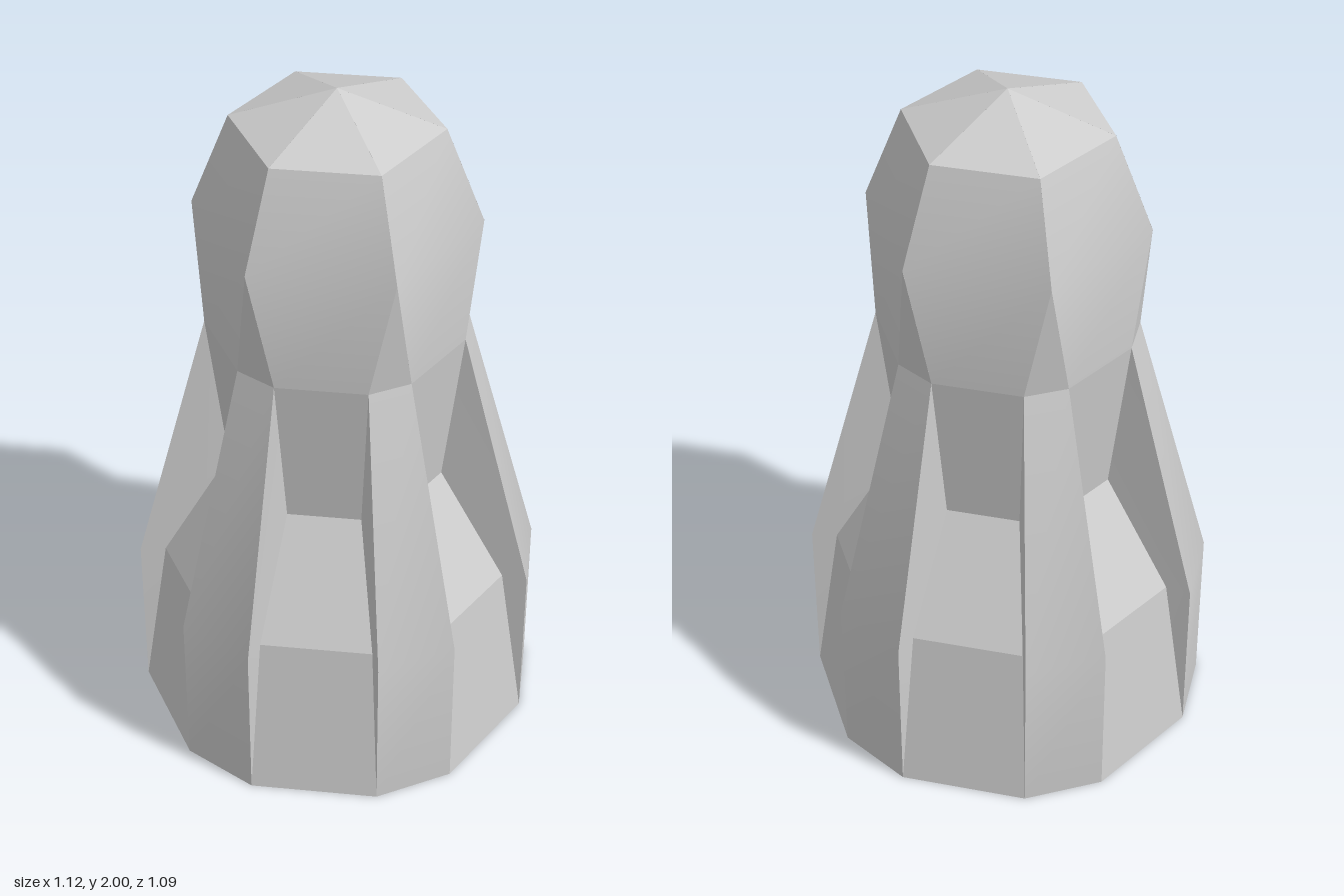
import * as THREE from 'three';
import { toCreasedNormals } from 'three/addons/utils/BufferGeometryUtils.js';

// Point on one of six sides: offset w along the side, height y, distance d from the axis
function onSide(k, w, y, d) {
  const a = k * Math.PI / 3;
  return [Math.sin(a) * d + Math.cos(a) * w, y, Math.cos(a) * d - Math.sin(a) * w];
}

// Adds a polygon as a triangle fan, corners counter-clockwise from outside
function face(out, ...p) {
  for (let i = 1; i < p.length - 1; i++) out.push(...p[0], ...p[i], ...p[i + 1]);
}

function makeMesh(name, positions, material) {
  const geo = new THREE.BufferGeometry();
  geo.setAttribute('position', new THREE.Float32BufferAttribute(positions, 3));
  const mesh = new THREE.Mesh(toCreasedNormals(geo, THREE.MathUtils.degToRad(20)), material);
  mesh.name = name;
  return mesh;
}

// Profiles: [half width, height, distance from axis]
const PANEL = [[0.181, 0, 0.545], [0.157, 0.49, 0.476], [0.103, 0.815, 0.29], [0.125, 1.285, 0.34]];
const RIB = [[0.181, 0, 0.545], [0.181, 0.49, 0.545], [0.125, 1.285, 0.34]];
const HEAD = [[0.125, 1.285, 0.34], [0.195, 1.63, 0.338], [0.1425, 1.9, 0.247]];

export function createModel() {
  const group = new THREE.Group();
  group.name = 'ribbedTower';
  const grey = new THREE.MeshStandardMaterial({ color: 0xcccccc, side: THREE.DoubleSide });
  grey.name = 'lightGrey';

  const panels = [], ribs = [], walls = [], head = [], cap = [];
  const strip = (out, k, rows) => {
    for (let i = 0; i < rows.length - 1; i++) {
      const [w0, y0, d0] = rows[i], [w1, y1, d1] = rows[i + 1];
      face(out, onSide(k, -w0, y0, d0), onSide(k, w0, y0, d0),
        onSide(k, w1, y1, d1), onSide(k, -w1, y1, d1));
    }
  };

  for (let k = 0; k < 6; k++) {
    // Recessed panel between two ribs
    strip(panels, k, PANEL);

    // Outer face of the rib on the corner between this side and the next
    const left = RIB.map(([w, y, d]) => onSide(k, w, y, d));
    const right = RIB.map(([w, y, d]) => onSide(k + 1, -w, y, d));
    for (let i = 0; i < 2; i++) face(ribs, left[i], right[i], right[i + 1], left[i + 1]);

    // Rib flanks running back to the panel edges
    for (const s of [1, -1]) {
      const outline = [RIB[1], RIB[2], PANEL[2], PANEL[1], PANEL[0]]
        .map(([w, y, d]) => onSide(k, s * w, y, d));
      face(walls, ...(s > 0 ? outline : outline.reverse().slice(-1).concat(outline.slice(0, -1))));
    }

    // Hexagonal head, its corners cut away towards the rib tops
    strip(head, k, HEAD);
    const [wt, yt, dt] = HEAD[1];
    face(head, left[2], right[2], onSide(k, wt, yt, dt));

    // Shallow pointed cap
    const [w, y, d] = HEAD[2];
    face(cap, onSide(k, -w, y, d), onSide(k, w, y, d), [0, 2, 0]);
  }

  group.add(
    makeMesh('recessedPanels', panels, grey),
    makeMesh('ribFaces', ribs, grey),
    makeMesh('ribFlanks', walls, grey),
    makeMesh('head', head, grey),
    makeMesh('cap', cap, grey)
  );
  return group;
}
